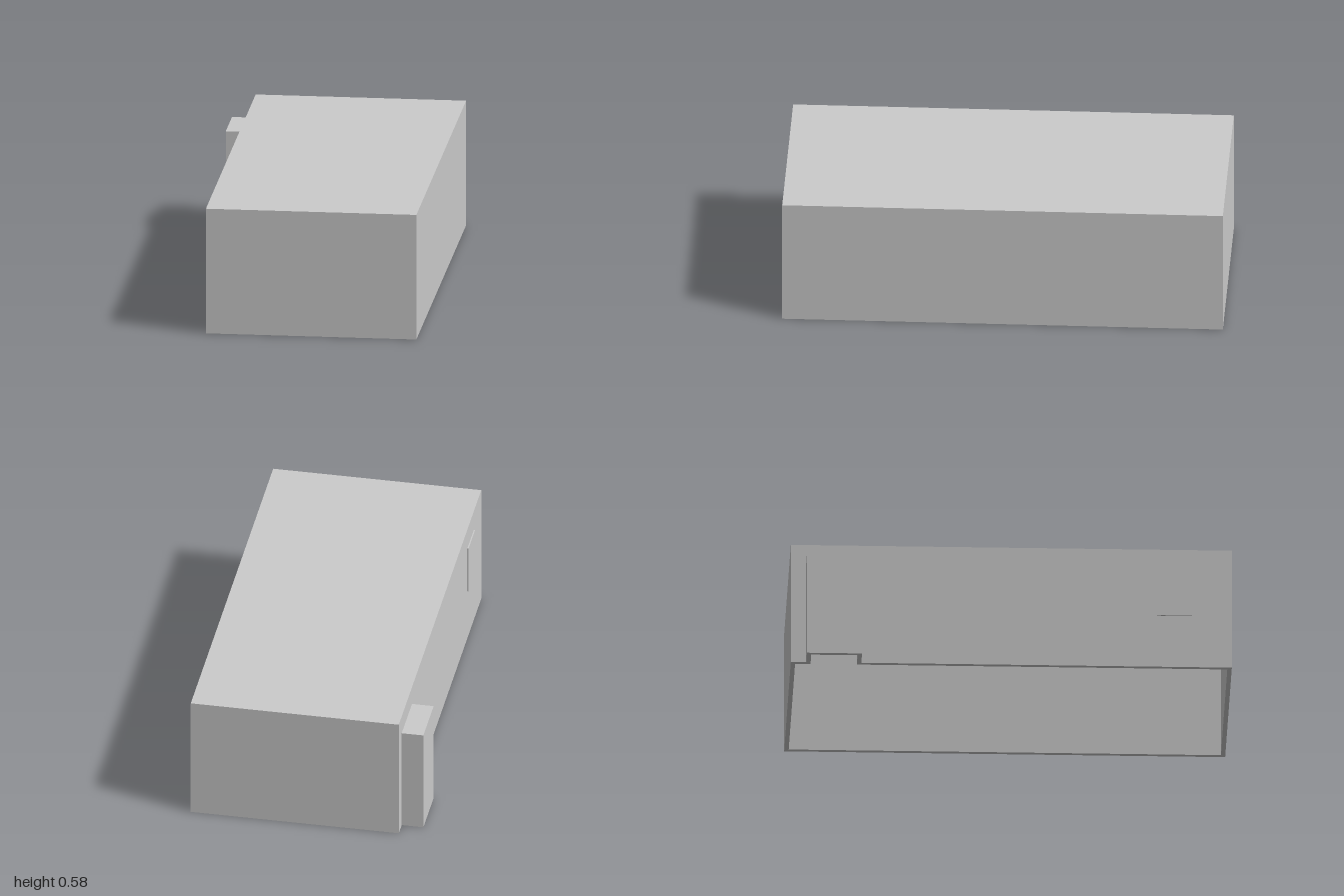
import * as THREE from 'three';

const material = new THREE.MeshStandardMaterial({ color: 0xcccccc, flatShading: true });
const T = 0.02; // wall thickness
const X0 = -0.43, X1 = 0.53, Z = 1, H = 0.585; // outer shell
const ALCOVE = { x: -0.53, z0: -0.93, z1: -0.68, h: 0.495 };
const WINDOW = { x: -0.436, z0: 0.66, z1: 0.82, y0: 0.255, y1: 0.485 };

// box given by its two extreme corners
function box(name, [ax, ay, az], [bx, by, bz]) {
  const mesh = new THREE.Mesh(new THREE.BoxGeometry(bx - ax, by - ay, bz - az), material);
  mesh.position.set((ax + bx) / 2, (ay + by) / 2, (az + bz) / 2);
  mesh.name = name;
  return mesh;
}

// side wall drawn in the z-y plane, with a doorway into the alcove and a window hole
function openSideWall() {
  const a = ALCOVE, w = WINDOW, top = H - T;
  const outline = new THREE.Shape([
    [-Z, 0], [a.z0 + T, 0], [a.z0 + T, a.h - T], [a.z1 - T, a.h - T], [a.z1 - T, 0],
    [Z, 0], [Z, top], [-Z, top],
  ].map(([z, y]) => new THREE.Vector2(z, y)));
  outline.holes.push(new THREE.Path([
    [w.z0 + T, w.y0 + T], [w.z0 + T, w.y1 - T], [w.z1 - T, w.y1 - T], [w.z1 - T, w.y0 + T],
  ].map(([z, y]) => new THREE.Vector2(z, y))));
  const geometry = new THREE.ExtrudeGeometry(outline, { depth: T, bevelEnabled: false });
  geometry.rotateY(-Math.PI / 2);
  const mesh = new THREE.Mesh(geometry, material);
  mesh.position.x = X0 + T;
  mesh.name = 'openSideWall';
  return mesh;
}

export function createModel() {
  const model = new THREE.Group();
  model.name = 'roomShell';

  // main shell, open underneath
  model.add(
    box('roof', [X0, H - T, -Z], [X1, H, Z]),
    box('plainSideWall', [X1 - T, 0, -Z], [X1, H - T, Z]),
    box('frontWall', [X0 + T, 0, Z - T], [X1 - T, H - T, Z]),
    box('backWall', [X0 + T, 0, -Z], [X1 - T, H - T, -Z + T]),
    openSideWall(),
  );

  // hollow alcove on the side wall
  const a = ALCOVE, alcove = new THREE.Group();
  alcove.name = 'alcove';
  alcove.add(
    box('alcoveRoof', [a.x, a.h - T, a.z0], [X0, a.h, a.z1]),
    box('alcoveOuterWall', [a.x, 0, a.z0], [a.x + T, a.h - T, a.z1]),
    box('alcoveBackWall', [a.x + T, 0, a.z0], [X0, a.h - T, a.z0 + T]),
    box('alcoveFrontWall', [a.x + T, 0, a.z1 - T], [X0, a.h - T, a.z1]),
  );
  model.add(alcove);

  // raised panel closing the window recess
  const w = WINDOW;
  model.add(box('windowPanel', [w.x, w.y0, w.z0], [X0, w.y1, w.z1]));
  return model;
}
